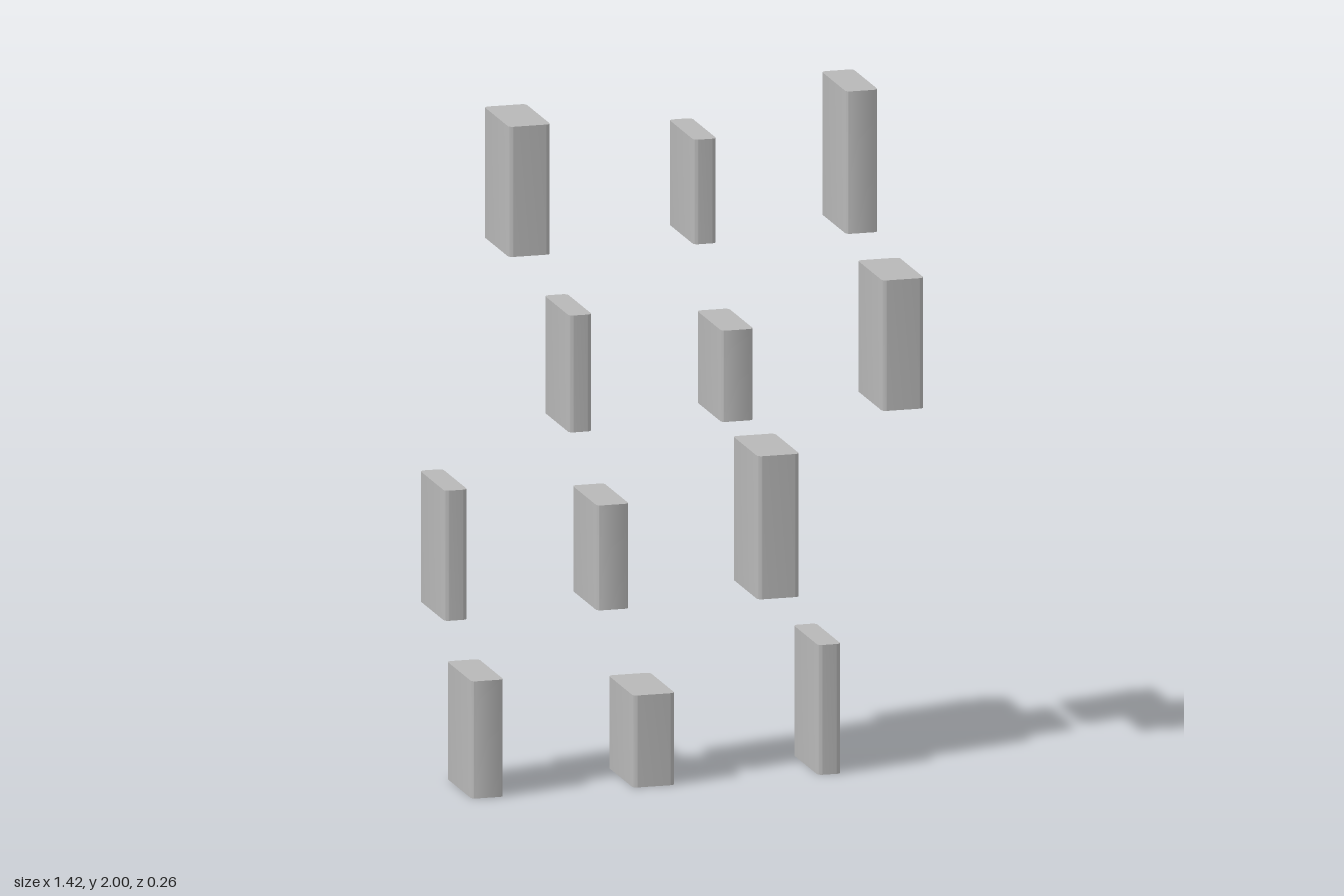
import * as THREE from 'three';
import { toCreasedNormals } from 'three/addons/utils/BufferGeometryUtils.js';

const DEPTH = 0.256;
const RADIUS = 0.014;

// Upright block: rounded vertical edges, sharp top and bottom
function blockGeometry(width, height) {
  const x = width / 2, z = DEPTH / 2, r = RADIUS;
  const s = new THREE.Shape();
  s.moveTo(-x + r, -z);
  s.lineTo(x - r, -z);
  s.absarc(x - r, -z + r, r, -Math.PI / 2, 0);
  s.lineTo(x, z - r);
  s.absarc(x - r, z - r, r, 0, Math.PI / 2);
  s.lineTo(-x + r, z);
  s.absarc(-x + r, z - r, r, Math.PI / 2, Math.PI);
  s.lineTo(-x, -z + r);
  s.absarc(-x + r, -z + r, r, Math.PI, Math.PI * 1.5);
  const g = new THREE.ExtrudeGeometry(s, { depth: height, bevelEnabled: false, curveSegments: 5 });
  g.rotateX(-Math.PI / 2);
  return toCreasedNormals(g, 0.6);
}

export function createModel() {
  const model = new THREE.Group();
  model.name = 'floatingBooks';
  const grey = new THREE.MeshStandardMaterial({ color: 0xb8b8b8 });
  grey.name = 'grey';

  // Each row: base height, then books as [centre x, width, height]
  const rows = [
    [0, [[-0.585, 0.095, 0.344], [-0.091, 0.124, 0.27], [0.43, 0.068, 0.381]]],
    [0.527, [[-0.679, 0.068, 0.382], [-0.213, 0.095, 0.308], [0.279, 0.124, 0.42]]],
    [1.055, [[-0.309, 0.068, 0.343], [0.157, 0.095, 0.268], [0.649, 0.124, 0.383]]],
    [1.582, [[-0.46, 0.124, 0.382], [0.061, 0.068, 0.307], [0.527, 0.095, 0.418]]],
  ];
  rows.forEach(([y, books], i) => {
    const row = new THREE.Group();
    row.name = `bookRow${i + 1}`;
    row.position.y = y;
    books.forEach(([x, width, height], j) => {
      const book = new THREE.Mesh(blockGeometry(width, height), grey);
      book.name = `book${i + 1}_${j + 1}`;
      book.position.x = x;
      row.add(book);
    });
    model.add(row);
  });
  return model;
}
